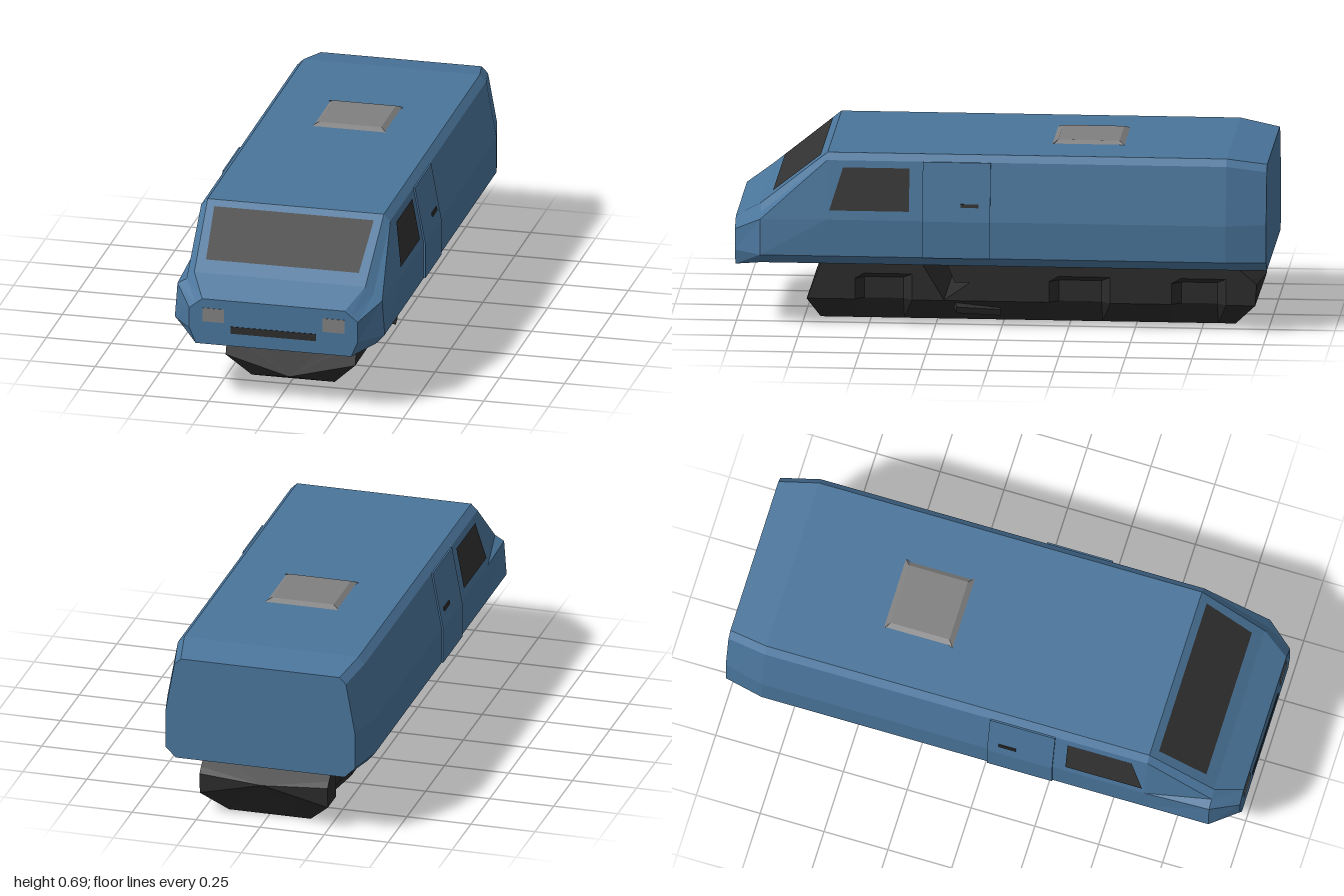
import * as THREE from 'three';

const mat = (name, color) => Object.assign(new THREE.MeshStandardMaterial({ color, flatShading: true }), { name });

// Flat-shaded geometry from a list of triangles, skipping collapsed ones
function fromTriangles(tris) {
  const pos = [];
  const tri = new THREE.Triangle();
  for (const t of tris) {
    tri.set(...t.map((p) => new THREE.Vector3(...p)));
    if (tri.getArea() > 1e-7) pos.push(...t.flat());
  }
  const g = new THREE.BufferGeometry();
  g.setAttribute('position', new THREE.Float32BufferAttribute(pos, 3));
  g.computeVertexNormals();
  return g;
}

// Skin mirrored half sections (listed bottom to top), from front to back, with fan caps
function loft(halves, noseCentre, tailCentre) {
  const rings = halves.map((h) => [...h, ...h.map(([x, y, z]) => [-x, y, z]).reverse()]);
  const n = rings[0].length;
  const last = rings[rings.length - 1];
  const tris = [];
  for (let i = 0; i < n; i++) {
    const j = (i + 1) % n;
    for (let k = 0; k < rings.length - 1; k++) {
      const [a, b, c, d] = [rings[k][i], rings[k][j], rings[k + 1][j], rings[k + 1][i]];
      tris.push([a, d, c], [a, c, b]);
    }
    tris.push([noseCentre, rings[0][i], rings[0][j]], [tailCentre, last[j], last[i]]);
  }
  return fromTriangles(tris);
}

// Single flat face, corners counter-clockwise from outside
const plate = (pts) => fromTriangles(pts.slice(2).map((p, i) => [pts[0], pts[i + 1], p]));

export function createModel() {
  const group = new THREE.Group();
  const blue = mat('bodyBlue', 0x4a759b);
  const dark = mat('darkTrim', 0x2c2c2c);
  const glass = mat('windowGlass', 0x323232);
  const grey = mat('lightGrey', 0x808080);
  const add = (name, geometry, material) => {
    const m = new THREE.Mesh(geometry, material);
    m.name = name;
    group.add(m);
    return m;
  };

  // Body shell
  const at = (z, pts) => pts.map(([x, y]) => [x, y, z]);
  const main = [[0.375, 0.255], [0.405, 0.29], [0.405, 0.43], [0.365, 0.65], [0.34, 0.675]];
  add('body', loft([
    at(1, [[0.3, 0.23], [0.325, 0.29], [0.325, 0.37], [0.3, 0.39], [0.275, 0.41]]),
    at(0.9, [[0.375, 0.255], [0.405, 0.29], [0.395, 0.425], [0.36, 0.445], [0.33, 0.475]]),
    at(0.65, main),
    at(-0.85, main),
    at(-1, [[0.33, 0.245], [0.37, 0.285], [0.37, 0.43], [0.335, 0.625], [0.31, 0.65]]),
  ], [0, 0.32, 1], [0, 0.45, -1]), blue);

  // Windscreen lying on the sloped front
  const slope = (x, y) => [x, y + 0.003, 0.9 - (y - 0.475) * 1.25 + 0.003];
  add('windscreen', plate([slope(-0.295, 0.51), slope(0.295, 0.51), slope(0.308, 0.655), slope(-0.308, 0.655)]), glass);

  // Front grille and headlights
  const box = (name, w, h, d, x, y, z, m) => {
    const b = add(name, new THREE.BoxGeometry(w, h, d), m);
    b.position.set(x, y, z);
    return b;
  };
  box('grille', 0.33, 0.028, 0.004, 0, 0.294, 1, dark);

  for (const s of [1, -1]) {
    const side = s > 0 ? 'left' : 'right';
    box(side + 'Headlight', 0.084, 0.054, 0.004, s * 0.232, 0.347, 1, grey);

    // Cab side window on the inclined upper wall
    const wall = (z, y) => [s * (0.405 - (y - 0.43) * 0.182 + 0.004), y, z];
    const pane = [wall(0.64, 0.465), wall(0.34, 0.465), wall(0.34, 0.625), wall(0.59, 0.625)];
    add(side + 'SideWindow', plate(s > 0 ? pane : pane.reverse()), glass);

    // Slightly raised door panel and its handle
    const profile = [[0.39, 0.29], [0.411, 0.29], [0.411, 0.43], [0.371, 0.65], [0.355, 0.65]];
    const door = new THREE.ExtrudeGeometry(
      new THREE.Shape(profile.map(([x, y]) => new THREE.Vector2(s * x, y))),
      { depth: 0.255, bevelEnabled: false });
    door.translate(0, 0, 0.035);
    add(side + 'Door', door, blue);
    box(side + 'DoorHandle', 0.012, 0.014, 0.068, s * 0.399, 0.49, 0.112, dark).rotation.z = s * 0.18;

    // Tapered step below the door
    const step = new THREE.ExtrudeGeometry(
      new THREE.Shape([[-0.22, 0.26], [-0.18, 0.16], [-0.06, 0.16], [-0.03, 0.26]].map((p) => new THREE.Vector2(...p))),
      { depth: 0.07, bevelEnabled: false });
    step.rotateY(Math.PI / 2).translate(s > 0 ? 0.18 : -0.25, 0, 0);
    add(side + 'Step', step, dark);
  }

  // Bevelled roof hatch
  add('roofHatch', loft([
    at(-0.18, [[0.145, 0.67], [0.145, 0.675]]),
    at(-0.2, [[0.145, 0.67], [0.12, 0.687]]),
    at(-0.43, [[0.145, 0.67], [0.12, 0.687]]),
    at(-0.45, [[0.145, 0.67], [0.145, 0.675]]),
  ], [0, 0.672, -0.18], [0, 0.672, -0.45]), grey);

  // Chassis: section with chamfered lower sides; top limits its height, recess sinks the wheel arch
  const section = (z, top = 0.26, recess = false) => {
    const w = recess ? 0.22 : 0.25;
    return [[0.16, 0], [w, 0.09], [w, 0.17], [0.25, 0.19], [0.25, 0.26]].map(([x, y]) => [x, Math.min(y, top), z]);
  };
  const arch = (front, back) => [
    section(front), section(front - 0.035, 0.26, true),
    section(back + 0.035, 0.26, true), section(back),
  ];
  const nose = section(0.69).map(([x, y], i) => [x, y, [0.69, 0.735, 0.705, 0.697, 0.67][i]]);
  const tail = section(-0.87).map(([x, y], i) => [x, y, [-0.87, -0.95, -0.955, -0.935, -0.85][i]]);
  add('chassis', loft([
    nose,
    ...arch(0.555, 0.34),
    section(0.32),
    section(0.22, 0.092), section(0.13, 0.155), section(0.03),
    ...arch(-0.175, -0.405),
    ...arch(-0.635, -0.84),
    tail,
  ], [0, 0.03, 0.755], [0, 0.16, -0.975]), dark);

  // Small bracket poking out beside the gap
  const bracket = box('sideBracket', 0.09, 0.025, 0.17, 0.208, 0.063, 0.1, dark);
  bracket.rotation.set(-0.1, 0.25, -0.25);

  return group;
}
